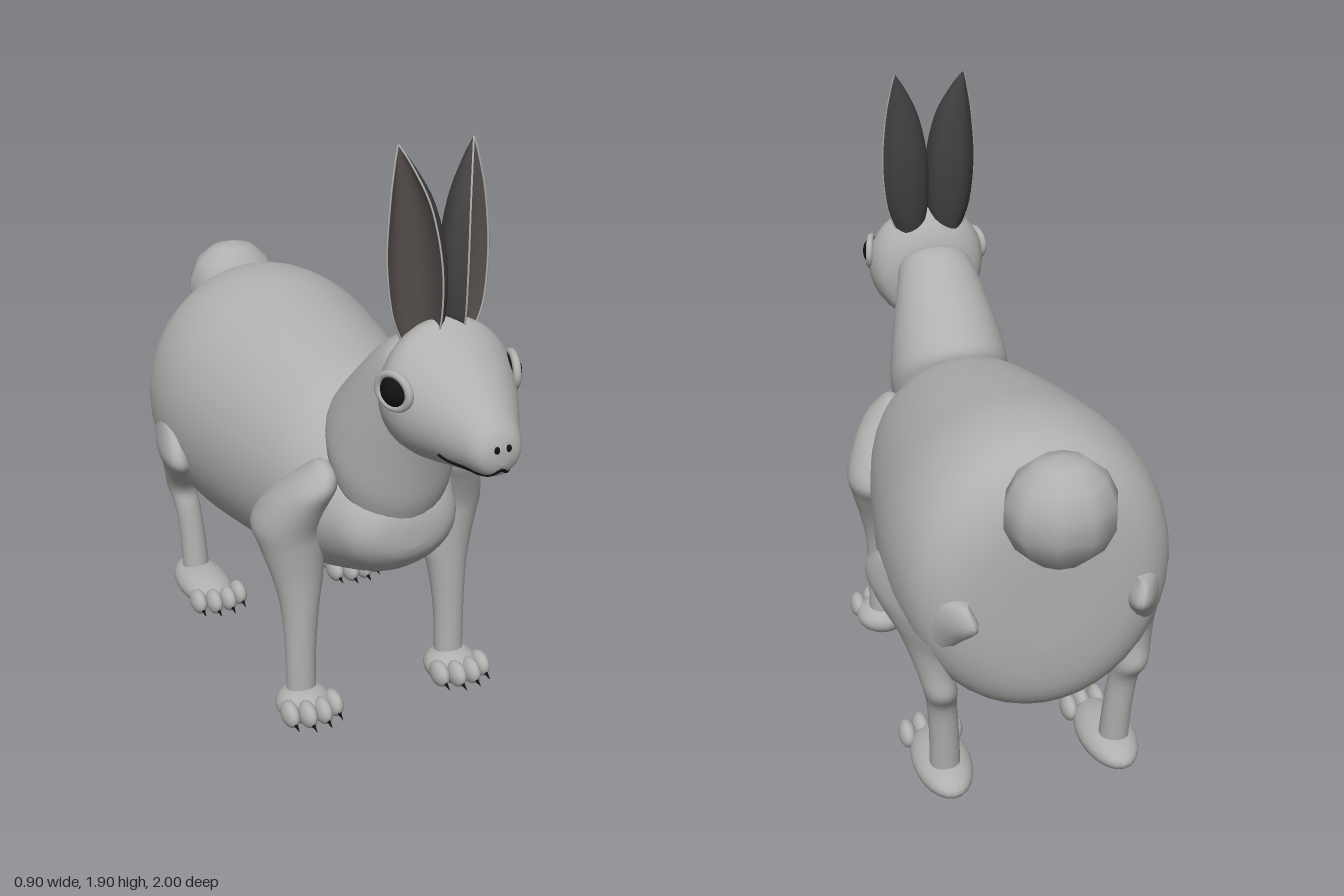
import * as THREE from 'three';

const mat = (name, color) => Object.assign(new THREE.MeshStandardMaterial({ color }), { name });
const fur = mat('grey fur', 0xb0b0ae);
const black = mat('black', 0x121212);
const earDark = mat('dark ear', 0x424040);
earDark.side = THREE.DoubleSide;
const earLining = mat('ear lining', 0x524b49);
earLining.side = THREE.DoubleSide;

function mesh(name, geometry, material, position = [0, 0, 0], scale = [1, 1, 1]) {
  const m = new THREE.Mesh(geometry, material);
  m.name = name;
  m.position.set(...position);
  m.scale.set(...scale);
  return m;
}

// Smoothly subdivide rows of section values
function refine(rows, n) {
  const out = [];
  const at = (i) => rows[Math.max(0, Math.min(rows.length - 1, i))];
  for (let i = 0; i < rows.length - 1; i++) {
    for (let k = 0; k < n; k++) {
      const t = k / n;
      out.push(rows[i].map((b, c) => {
        const a = at(i - 1)[c], d = at(i + 1)[c], e = at(i + 2)[c];
        return b + 0.5 * t * (d - a + t * (2 * a - 5 * b + 4 * d - e + t * (3 * (b - d) + e - a)));
      }));
    }
  }
  out.push(rows[rows.length - 1]);
  return out;
}

// Closed skin through rings; point(row, cos, sin) returns [x, y, z]
function loft(rows, point, segs = 32, n = 4) {
  const pos = [], idx = [];
  const fine = refine(rows, n);
  for (const row of fine) {
    for (let j = 0; j < segs; j++) {
      const a = (j / segs) * Math.PI * 2;
      pos.push(...point(row, Math.cos(a), Math.sin(a)));
    }
  }
  const last = fine.length - 1;
  for (let i = 0; i < last; i++) {
    for (let j = 0; j < segs; j++) {
      const a = i * segs + j, b = i * segs + (j + 1) % segs;
      idx.push(a, b, a + segs, b, b + segs, a + segs);
    }
  }
  for (const end of [0, last]) {
    const p = [0, 0, 0], c = pos.length / 3;
    for (let j = 0; j < segs; j++) for (let k = 0; k < 3; k++) p[k] += pos[(end * segs + j) * 3 + k] / segs;
    pos.push(...p);
    for (let j = 0; j < segs; j++) {
      const a = end * segs + j, b = end * segs + (j + 1) % segs;
      if (end === 0) idx.push(c, b, a); else idx.push(c, a, b);
    }
  }
  // Face outward whichever way the rings run
  const v = (i) => new THREE.Vector3().fromArray(pos, i * 3);
  let volume = 0;
  for (let i = 0; i < idx.length; i += 3) volume += v(idx[i]).dot(v(idx[i + 1]).cross(v(idx[i + 2])));
  if (volume < 0) idx.reverse();
  return toGeometry(pos, idx);
}

function toGeometry(pos, idx) {
  const g = new THREE.BufferGeometry();
  g.setAttribute('position', new THREE.Float32BufferAttribute(pos, 3));
  g.setIndex(idx);
  g.computeVertexNormals();
  return g;
}

// Rows along z: z, top, bottom, half width
const alongZ = ([z, top, bot, w], c, s) => [w * c, (top + bot) / 2 + (top - bot) / 2 * s, z];
const bodyRows = [[0.52, 0.72, 0.65, 0.04], [0.505, 0.78, 0.61, 0.12], [0.46, 0.84, 0.56, 0.18],
  [0.38, 0.92, 0.51, 0.22], [0.2, 1.07, 0.44, 0.3], [0, 1.13, 0.385, 0.355], [-0.3, 1.19, 0.345, 0.405],
  [-0.5, 1.22, 0.33, 0.42], [-0.66, 1.205, 0.335, 0.4], [-0.75, 1.15, 0.365, 0.35],
  [-0.8, 1.05, 0.45, 0.26], [-0.815, 0.9, 0.6, 0.12]];
const headRows = [[0.572, 1.3, 1.16, 0.07], [0.585, 1.345, 1.1, 0.12], [0.61, 1.39, 1.045, 0.165],
  [0.65, 1.43, 1.03, 0.19], [0.7, 1.435, 1.032, 0.2], [0.76, 1.39, 1.04, 0.185], [0.85, 1.33, 1.058, 0.14],
  [0.92, 1.275, 1.07, 0.1], [0.97, 1.23, 1.082, 0.075], [0.99, 1.2, 1.1, 0.055], [1.0, 1.17, 1.125, 0.02]];
// Neck rows: back z, back y, front z, front y, half width
const neckRows = [[0.2, 1.04, 0.5, 0.72, 0.19], [0.2, 1.085, 0.535, 0.8, 0.2], [0.24, 1.13, 0.56, 0.92, 0.19],
  [0.34, 1.225, 0.585, 1.03, 0.165], [0.43, 1.305, 0.61, 1.12, 0.14], [0.51, 1.34, 0.64, 1.18, 0.12],
  [0.57, 1.325, 0.65, 1.22, 0.09]];
const neckPoint = ([bz, by, fz, fy, w], c, s) =>
  [w * s, (by + fy) / 2 + (fy - by) / 2 * c, (bz + fz) / 2 + (fz - bz) / 2 * c];

// Leg rows: y, centre x, half width, front z, back z, x drift per z
const foreRows = [[0.905, 0.215, 0.015, 0.35, 0.31, 0], [0.88, 0.215, 0.04, 0.39, 0.27, 0],
  [0.83, 0.235, 0.07, 0.412, 0.21, 0], [0.76, 0.262, 0.092, 0.385, 0.14, 0], [0.67, 0.28, 0.107, 0.352, 0.088, 0],
  [0.6, 0.272, 0.1, 0.342, 0.125, 0], [0.5, 0.262, 0.082, 0.335, 0.18, 0], [0.4, 0.262, 0.062, 0.334, 0.215, 0],
  [0.25, 0.266, 0.05, 0.333, 0.24, 0], [0.08, 0.267, 0.048, 0.335, 0.25, 0]];
const hindRows = [[0.785, 0.27, 0.015, -0.74, -0.83, 0.3], [0.765, 0.32, 0.045, -0.46, -0.855, 0.33],
  [0.72, 0.33, 0.065, -0.36, -0.87, 0.33], [0.66, 0.345, 0.075, -0.315, -0.81, 0.3],
  [0.61, 0.345, 0.07, -0.345, -0.765, 0.25], [0.55, 0.325, 0.06, -0.47, -0.735, 0.2],
  [0.48, 0.31, 0.053, -0.555, -0.725, 0.1], [0.41, 0.295, 0.05, -0.605, -0.728, 0],
  [0.34, 0.285, 0.045, -0.595, -0.685, 0], [0.22, 0.275, 0.045, -0.58, -0.67, 0], [0.08, 0.27, 0.047, -0.565, -0.66, 0]];
const legPoint = (side) => ([y, x, w, f, b, drift], c, s) => {
  const dz = (f - b) / 2 * s;
  return [side * (x + w * c + drift * dz), y, (f + b) / 2 + dz];
};

// Furthest z of the head surface at x, y
function headZ(x, y) {
  for (let z = 1; z > 0.7; z -= 0.001) {
    const i = headRows.findIndex((r) => r[0] >= z);
    const a = headRows[i - 1], b = headRows[i], t = (z - a[0]) / (b[0] - a[0]);
    const [top, bot, w] = [1, 2, 3].map((k) => a[k] + (b[k] - a[k]) * t);
    if ((x / w) ** 2 + ((2 * y - top - bot) / (top - bot)) ** 2 < 1) return z;
  }
  return 0.7;
}

// Ear rows: y, centre x, centre z, scale
const earRows = refine([[1.36, 0.085, 0.625, 0.55], [1.45, 0.105, 0.615, 0.9], [1.6, 0.115, 0.605, 1],
  [1.75, 0.115, 0.605, 0.75], [1.85, 0.115, 0.605, 0.35], [1.91, 0.115, 0.605, 0.01]], 4);
const earShell = refine([[0.04, 0.725], [0, 0.68], [0.01, 0.61], [0.06, 0.58], [0.12, 0.585], [0.157, 0.63]], 3);
const earCup = refine([[0.04, 0.725], [0.04, 0.68], [0.055, 0.64], [0.09, 0.615], [0.125, 0.61], [0.157, 0.63]], 3);
const earPoint = (side, [y, cx, cz, s], [x, z]) => [side * (cx + (x - 0.115) * s), y, cz + (z - 0.605) * s];

function earSheet(side, section) {
  const pos = [], idx = [], n = section.length;
  earRows.forEach((row, i) => section.forEach((p, j) => {
    pos.push(...earPoint(side, row, p));
    if (i && j) {
      const d = i * n + j, c = d - 1, b = d - n, a = b - 1;
      if (side > 0) idx.push(a, b, c, b, d, c); else idx.push(a, c, b, b, c, d);
    }
  }));
  return toGeometry(pos, idx);
}

function tube(points, radius) {
  const curve = new THREE.CatmullRomCurve3(points.map((p) => new THREE.Vector3(...p)));
  return new THREE.TubeGeometry(curve, 40, radius, 6);
}

const ball = new THREE.SphereGeometry(1, 24, 16);

// Foot with four toes and claws
function foot(name, side, z, halfLength, toeZ) {
  const g = new THREE.Group();
  g.name = name;
  g.add(mesh('paw', ball, fur, [side * 0.267, 0.065, z], [0.09, 0.058, halfLength]));
  [-0.075, -0.026, 0.026, 0.075].forEach((dx, i) => {
    const tz = toeZ - (i === 0 || i === 3 ? 0.025 : 0);
    const x = side * 0.267 + dx;
    g.add(mesh('toe', ball, fur, [x, 0.075, tz], [0.027, 0.042, 0.05]));
    const claw = mesh('claw', new THREE.ConeGeometry(0.011, 0.05, 8), black, [x, 0.058, tz + 0.048]);
    claw.rotation.x = Math.PI / 2 + 0.35;
    g.add(claw);
  });
  return g;
}

export function createModel() {
  const model = new THREE.Group();
  model.name = 'rabbit';
  model.add(
    mesh('body', loft(bodyRows, alongZ, 40), fur),
    mesh('neck', loft(neckRows, neckPoint), fur),
    mesh('head', loft(headRows, alongZ), fur),
    mesh('tail', new THREE.SphereGeometry(0.165, 10, 7), fur, [0, 1.065, -0.855], [1, 1, 0.89]),
  );

  // Mouth line follows the muzzle
  const lip = [[0.115, 1.122], [0.095, 1.108], [0.065, 1.102], [0.045, 1.093], [0.025, 1.094], [0, 1.11]];
  const mouth = [...lip.map(([x, y]) => [-x, y]), ...lip.slice(0, -1).reverse()];
  model.add(mesh('mouth', tube(mouth.map(([x, y]) => [x, y, headZ(x, y)]), 0.006), black));

  for (const side of [1, -1]) {
    const word = side > 0 ? 'left' : 'right';
    model.add(
      mesh(word + 'Foreleg', loft(foreRows, legPoint(side), 24), fur),
      mesh(word + 'HindLeg', loft(hindRows, legPoint(side), 24), fur),
      foot(word + 'Forefoot', side, 0.31, 0.092, 0.395),
      foot(word + 'HindFoot', side, -0.555, 0.177, -0.385),
      mesh(word + 'Nostril', ball, black, [side * 0.018, 1.17, headZ(0.018, 1.165)], [0.008, 0.011, 0.006]),
    );

    const ear = new THREE.Group();
    ear.name = word + 'Ear';
    ear.add(mesh('earShell', earSheet(side, earShell), earDark), mesh('earLining', earSheet(side, earCup), earLining));
    for (const rim of [earShell[0], earShell[earShell.length - 1]])
      ear.add(mesh('earRim', tube(earRows.map((r) => earPoint(side, r, rim)), 0.003), fur));
    model.add(ear);

    const eye = new THREE.Group();
    eye.name = word + 'Eye';
    eye.position.set(side * 0.178, 1.27, 0.73);
    eye.rotation.y = side * (Math.PI / 2 - 0.3);
    eye.add(
      mesh('eyeball', ball, black, [0, 0, 0], [0.05, 0.047, 0.035]),
      mesh('eyelid', new THREE.TorusGeometry(0.054, 0.012, 10, 32), fur, [0, 0, 0.008], [1.08, 0.9, 1]),
    );
    model.add(eye);
  }
  return model;
}
